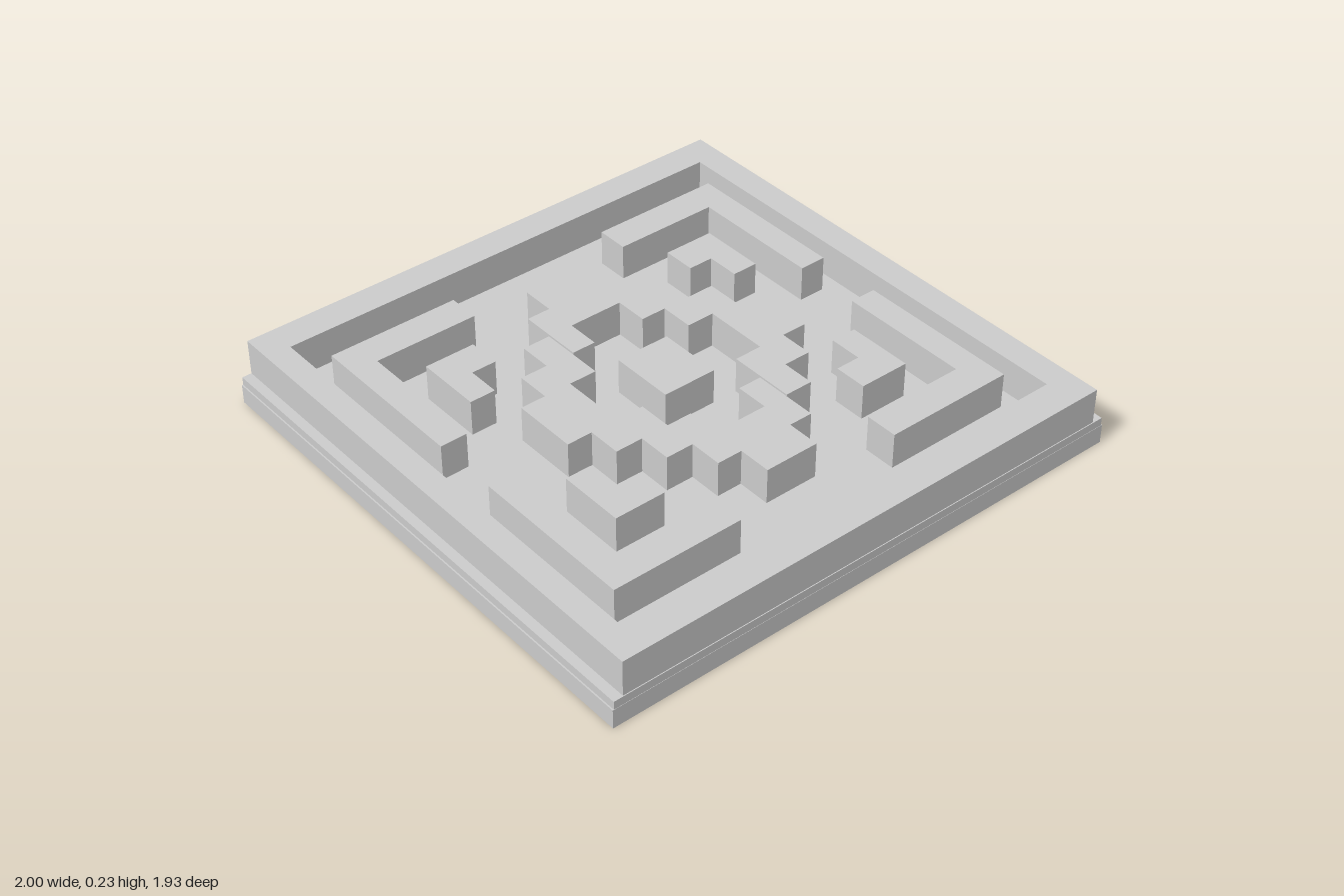
import * as THREE from 'three';

const FLOOR = 0.1, TOP = 0.23;

export function createModel() {
  const model = new THREE.Group();
  model.name = 'reliefTile';
  const material = new THREE.MeshStandardMaterial({ color: 0xcccccc, flatShading: true });

  const add = (parent, name, geometry) => {
    const mesh = new THREE.Mesh(geometry, material);
    mesh.name = name;
    parent.add(mesh);
    return mesh;
  };
  const slab = (name, x0, x1, y0, y1, z0, z1) =>
    add(model, name, new THREE.BoxGeometry(x1 - x0, y1 - y0, z1 - z0))
      .position.set((x0 + x1) / 2, (y0 + y1) / 2, (z0 + z1) / 2);
  const outline = pts => pts.map(([x, z]) => new THREE.Vector2(x, -z));
  // Raises an outline given in x, z from the floor to the common top level;
  // a hole runs the opposite way round to the outline
  const raise = (outer, hole) => {
    const shape = new THREE.Shape(outline(outer));
    if (hole) shape.holes.push(new THREE.Path(outline(hole).reverse()));
    return new THREE.ExtrudeGeometry(shape, { depth: TOP - FLOOR, bevelEnabled: false })
      .rotateX(-Math.PI / 2).translate(0, FLOOR, 0);
  };
  const rect = (x0, x1, z0, z1) => [[x0, z0], [x1, z0], [x1, z1], [x0, z1]];

  // Base plate with a slightly inset upper lip
  slab('basePlate', -1, 1, 0, 0.07, -0.965, 0.965);
  slab('baseLip', -0.995, 0.995, 0.07, FLOOR, -0.965, 0.964);

  // Raised border, flush with the base at the back
  add(model, 'borderFrame', raise(rect(-0.96, 0.956, -0.965, 0.961), rect(-0.87, 0.856, -0.85, 0.84)));

  const pattern = new THREE.Group();
  pattern.name = 'reliefPattern';
  pattern.position.set(-0.003, 0, -0.004);
  model.add(pattern);

  // Stepped diamond ring: two equal halves, parted by hairline slits
  const halfRing = [
    // outer stairs, from the front slit round to the back slit
    [0.193, 0.36], [0.295, 0.36], [0.295, 0.24], [0.395, 0.24], [0.395, 0.118], [0.488, 0.118],
    [0.488, -0.118], [0.395, -0.118], [0.395, -0.24], [0.295, -0.24], [0.295, -0.36],
    [0.193, -0.36], [0.193, -0.48], [0.1, -0.48], [0.1, -0.6], [-0.1, -0.6], [-0.1, -0.48],
    [-0.187, -0.48], [-0.187, -0.24],
    // inner stairs back again
    [-0.1, -0.24], [-0.1, -0.36], [0.1, -0.36], [0.1, -0.24], [0.193, -0.24],
    [0.193, -0.118], [0.295, -0.118], [0.295, 0.118], [0.193, 0.118],
  ];
  add(pattern, 'steppedRingBack', raise(halfRing));
  add(pattern, 'steppedRingFront', raise(halfRing.map(([x, z]) => [-x, -z])));
  add(pattern, 'centreBlock', raise(rect(-0.1, 0.1, -0.118, 0.118)));

  // Large and small angle blocks in each corner
  const angle = (x0, x1, xEnd, z0, z1, zEnd) =>
    [[x0, z0], [xEnd, z0], [xEnd, z1], [x1, z1], [x1, zEnd], [x0, zEnd]];
  for (const sx of [-1, 1]) {
    for (const sz of [-1, 1]) {
      const mirror = pts => pts.map(([x, z]) => [x * sx, z * sz]);
      const side = (sz > 0 ? 'Front' : 'Back') + (sx > 0 ? 'Left' : 'Right');
      add(pattern, 'cornerAngle' + side, raise(mirror(angle(0.792, 0.695, 0.312, 0.722, 0.605, 0.122))));
      add(pattern, 'smallAngle' + side, raise(mirror(angle(0.592, 0.498, 0.407, 0.482, 0.362, 0.242))));
    }
  }
  return model;
}
